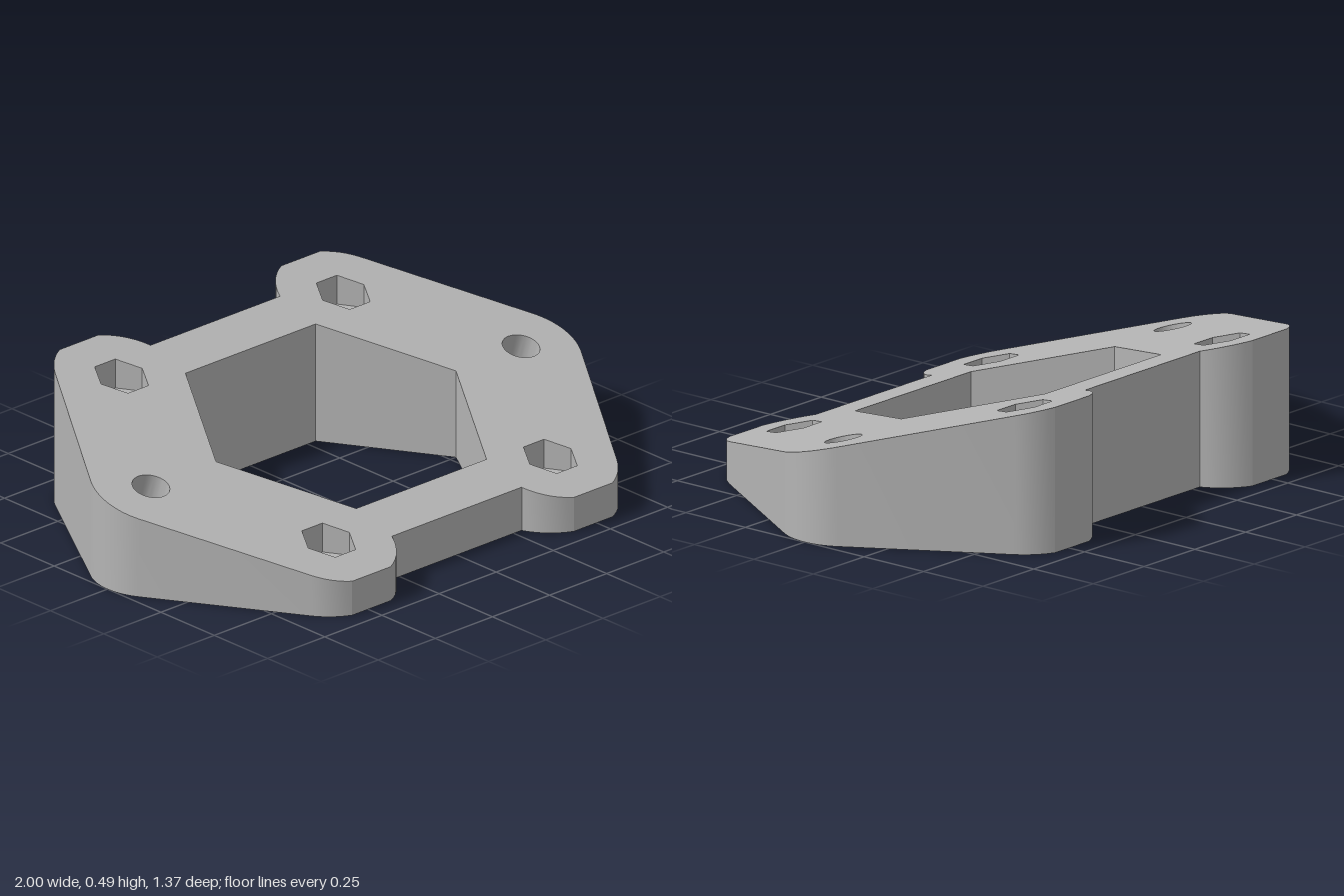
import * as THREE from 'three';
import { mergeGeometries, toCreasedNormals } from 'three/addons/utils/BufferGeometryUtils.js';

const TILT = Math.PI / 12;          // slope of the top plane
const MID = 0.3025;                 // height of the top plane at z = 0
const topY = (x, z) => MID - z * Math.tan(TILT);
const V = (x, y, z) => new THREE.Vector3(x, y, z);

const arc = (cx, cz, r, a0, a1, n) => Array.from({ length: n + 1 }, (_, i) => {
  const t = a0 + (a1 - a0) * i / n;
  return [cx + r * Math.cos(t), cz + r * Math.sin(t)];
});
const ring = (cx, cz, r, n) => arc(cx, cz, r, 0, Math.PI * 2, n).slice(0, n);
// Lift a plan loop onto a height rule
const lift = (loop, y) => loop.map(([x, z]) => V(x, y(x, z), z));
const level = h => () => h;

function soup(points) {
  return new THREE.BufferGeometry().setFromPoints(points);
}

// Strip between two matching loops
function wall(lo, hi, outward) {
  const pts = [];
  lo.forEach((a, i) => {
    const j = (i + 1) % lo.length, b = lo[j], c = hi[j], d = hi[i];
    if (outward) pts.push(a, c, b, a, d, c);
    else pts.push(a, b, c, a, c, d);
  });
  return soup(pts);
}

// Flat face with holes, facing up or down
function face(outer, holes, up) {
  const flat = l => l.map(p => new THREE.Vector2(p.x, p.z));
  const all = [outer, ...holes].flat();
  const pts = [];
  for (const [i, j, k] of THREE.ShapeUtils.triangulateShape(flat(outer), holes.map(flat))) {
    const a = all[i], b = all[j], c = all[k];
    const ny = (b.z - a.z) * (c.x - a.x) - (b.x - a.x) * (c.z - a.z);
    if ((ny > 0) === up) pts.push(a, b, c);
    else pts.push(a, c, b);
  }
  return soup(pts);
}

// Outer plan: six equal rounded corners, clipped front and back, notched by the bars
function outlinePlan() {
  const r = 0.217, a = 0.551, clip = Math.asin(0.2 / r), end = Math.PI - Math.acos(0.2 / r);
  const quarter = [
    ...arc(0.783, 0, r, 0, a, 8),
    ...arc(0.485, 0.485, r, a, clip, 6),
    ...arc(0.485, 0.485, r, Math.PI - clip, end, 7),
    [0.285, 0.565],
  ];
  const half = [...quarter, ...quarter.map(([x, z]) => [-x, z]).reverse()].slice(0, -1);
  return [...half, ...half.map(([x, z]) => [-x, -z])];
}

// Loop around a bore square to the sloped top; depth null runs it to the ground
function boreLoop(cx, r, depth) {
  const c = Math.cos(TILT), s = Math.sin(TILT);
  return ring(0, 0, r, 40).map(([u, v]) => {
    const d = depth === null ? (MID - v * s) / c : depth;
    return V(cx + u, MID - v * s - d * c, v * c - d * s);
  });
}

export function createModel() {
  const group = new THREE.Group();
  const grey = new THREE.MeshStandardMaterial({ color: 0xb4b4b4 });
  grey.name = 'grey';
  const add = (name, ...geos) => {
    const mesh = new THREE.Mesh(toCreasedNormals(mergeGeometries(geos), 0.35), grey);
    mesh.name = name;
    group.add(mesh);
  };

  const outline = outlinePlan();
  const opening = [[0.525, 0], [0.285, 0.4], [-0.285, 0.4], [-0.525, 0], [-0.285, -0.4], [0.285, -0.4]];
  const topHoles = [lift(opening, topY)];
  const bottomHoles = [lift(opening, level(0))];

  // Tilted screw bores, wide from below
  for (const x of [-0.81, 0.81]) {
    const top = boreLoop(x, 0.0615, 0), neck = boreLoop(x, 0.0615, 0.1);
    const shoulder = boreLoop(x, 0.125, 0.1), base = boreLoop(x, 0.125, null);
    topHoles.push(top);
    bottomHoles.push(base);
    add('screwBore', wall(neck, top, false), wall(shoulder, neck, false), wall(base, shoulder, false));
  }

  // Upright holes under hexagonal nut pockets
  for (const x of [-0.485, 0.485]) for (const z of [-0.485, 0.485]) {
    const hex = ring(x, z, 0.09, 6), hole = ring(x, z, 0.044, 32);
    const floorY = level(topY(x, z) - 0.08);
    const rim = lift(hex, topY), floor = lift(hex, floorY);
    const holeTop = lift(hole, floorY), holeBase = lift(hole, level(0));
    topHoles.push(rim);
    bottomHoles.push(holeBase);
    add('nutPocket', wall(floor, rim, false), face(floor, [holeTop], true));
    add('boltHole', wall(holeBase, holeTop, false));
  }

  // Wedge body
  const upper = lift(outline, topY), lower = lift(outline, level(0));
  add('slopedTop', face(upper, topHoles, true));
  add('flatBase', face(lower, bottomHoles, false));
  add('outerWall', wall(lower, upper, true));
  add('centreOpening', wall(bottomHoles[0], topHoles[0], false));
  return group;
}
